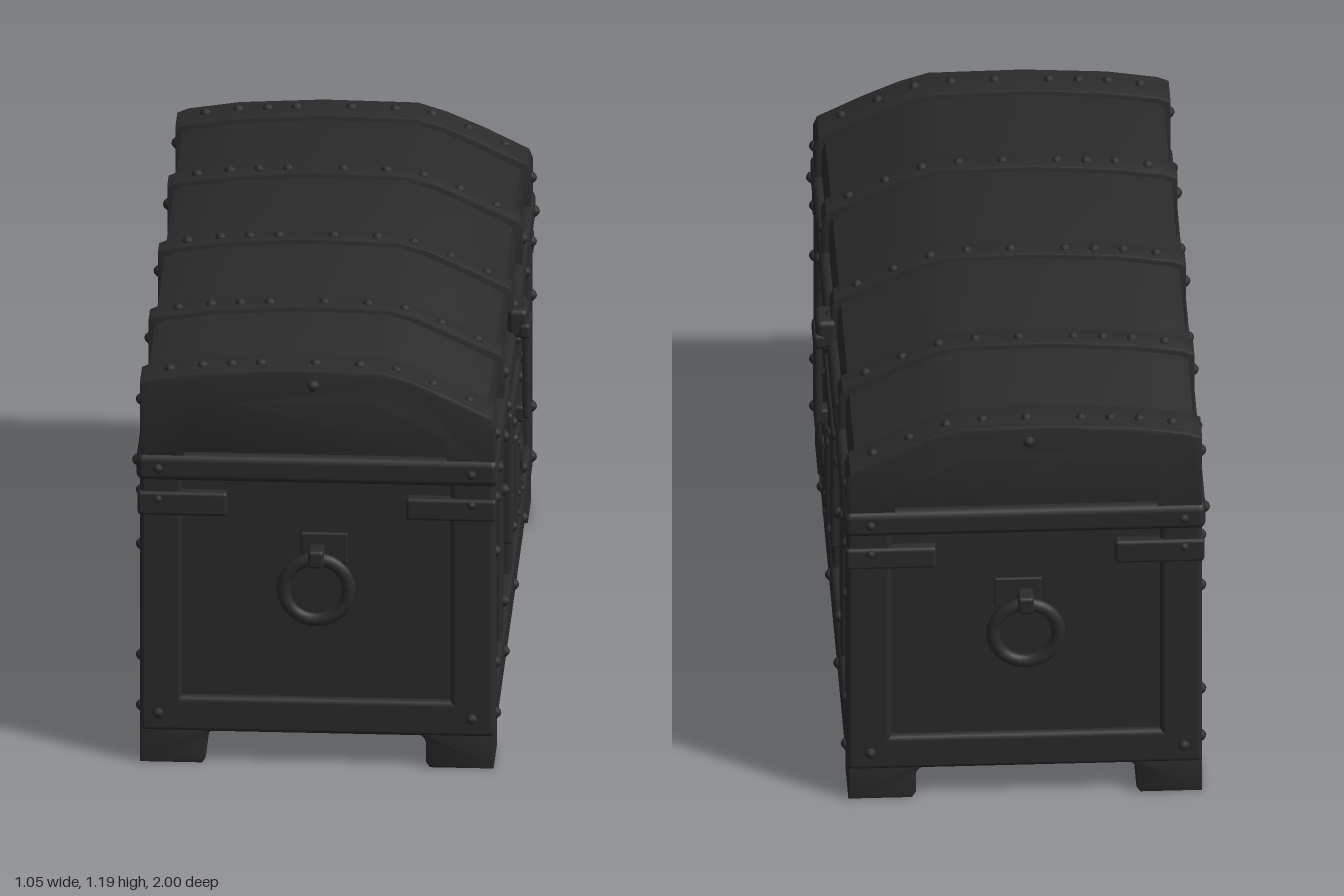
import * as THREE from 'three';
import { RoundedBoxGeometry } from 'three/addons/geometries/RoundedBoxGeometry.js';
import { toCreasedNormals } from 'three/addons/utils/BufferGeometryUtils.js';

const darkIron = new THREE.MeshStandardMaterial({ color: 0x2b2b2c });
darkIron.name = 'darkIron';

// Lopsided arch of the lid, from the low back edge over to the latch side
const ARCH = [[-0.5, 0.88], [-0.5, 1.13], [-0.47, 1.143], [-0.33, 1.165], [-0.1, 1.178],
  [0.16, 1.175], [0.24, 1.15], [0.34, 1.107], [0.465, 1.045], [0.475, 1.02], [0.475, 0.88]];
const PANEL = [[-0.385, 0.9], [-0.385, 1.07], [-0.15, 1.088], [0.15, 1.085], [0.35, 0.99], [0.35, 0.9]];
const BAND_Z = [-0.9, -0.47, 0, 0.47, 0.9];

const toPoints = (list) => list.map(([x, y]) => new THREE.Vector2(x, y));

export function createModel() {
  const model = new THREE.Group();
  model.name = 'chest';

  const add = (name, geometry, parent = model) => {
    const mesh = new THREE.Mesh(geometry, darkIron);
    mesh.name = name;
    parent.add(mesh);
    return mesh;
  };

  // Softened box given by its limits on each axis
  const box = (name, x0, x1, y0, y1, z0, z1, r = 0.01, parent = model) => {
    const mesh = add(name, new RoundedBoxGeometry(x1 - x0, y1 - y0, z1 - z0, 2, r), parent);
    mesh.position.set((x0 + x1) / 2, (y0 + y1) / 2, (z0 + z1) / 2);
    return mesh;
  };

  // Cross-section in x and y drawn out from z0 to z1 with a small bevel
  const slice = (name, shape, z0, z1, bevel = 0.008) => {
    const geometry = new THREE.ExtrudeGeometry(shape, {
      depth: z1 - z0 - 2 * bevel, bevelThickness: bevel, bevelSize: bevel,
      bevelOffset: -bevel, bevelSegments: 2, curveSegments: 6,
    });
    geometry.translate(0, 0, z0 + bevel);
    return add(name, toCreasedNormals(geometry, 0.6));
  };

  // Body core, rails, bands and corner posts
  box('bodyCore', -0.475, 0.45, 0.1, 0.87, -0.935, 0.935);
  box('bottomRail', -0.5, 0.475, 0.095, 0.2, -0.955, 0.955, 0.015);
  box('upperBodyRail', -0.497, 0.472, 0.74, 0.85, -0.93, 0.93);
  box('lidRail', -0.51, 0.483, 0.842, 0.92, -0.965, 0.965, 0.02);
  for (const z of BAND_Z.slice(1, 4)) box('bodyBand', -0.494, 0.469, 0.12, 0.8, z - 0.048, z + 0.048);
  for (const s of [-1, 1]) {
    const z0 = s > 0 ? 0.85 : -0.955;
    box('backPost', -0.5, -0.385, 0.12, 0.87, z0, z0 + 0.105, 0.015);
    box('frontPost', 0.352, 0.475, 0.12, 0.87, z0, z0 + 0.105, 0.015);
  }

  // Feet with a curved inner shoulder
  for (const s of [-1, 1]) {
    for (const [edge, inner, d] of [[-0.5, -0.32, 1], [0.47, 0.285, -1]]) {
      const foot = new THREE.Shape();
      foot.moveTo(edge, 0);
      foot.lineTo(inner - d * 0.01, 0);
      foot.lineTo(inner, 0.015);
      foot.lineTo(inner, 0.065);
      foot.quadraticCurveTo(inner, 0.095, inner + d * 0.03, 0.098);
      foot.lineTo(inner + d * 0.03, 0.12);
      foot.lineTo(edge, 0.12);
      foot.closePath();
      slice('foot', foot, s > 0 ? 0.775 : -0.95, s > 0 ? 0.95 : -0.775);
    }
  }

  // Lid skin, arched bands and the end frames around sunken panels
  const inset = ARCH.map(([x, y]) => [x < 0 ? x * 0.965 : x * 0.96, y > 0.9 ? y - 0.014 : y]);
  slice('lidCore', new THREE.Shape(toPoints(inset)), -0.935, 0.935);
  for (const z of BAND_Z) {
    const end = Math.abs(z) > 0.8;
    const half = end ? 0.05 : z === 0 ? 0.035 : 0.04;
    const mid = end ? Math.sign(z) * 0.885 : z;
    slice('lidBand', new THREE.Shape(toPoints(ARCH)), mid - half, mid + half, 0.006);
  }
  for (const s of [-1, 1]) {
    const frame = new THREE.Shape(toPoints(ARCH));
    frame.holes.push(new THREE.Path(toPoints(PANEL)));
    slice('lidEndFrame', frame, s > 0 ? 0.915 : -0.955, s > 0 ? 0.955 : -0.915);
  }

  // Ring handles and corner straps on both ends
  for (const s of [-1, 1]) {
    const handle = new THREE.Group();
    handle.name = 'ringHandle';
    const ring = add('ring', new THREE.TorusGeometry(0.09, 0.019, 10, 28), handle);
    ring.position.set(-0.015, 0.537, s * 0.977);
    ring.scale.z = 0.95;
    box('staple', -0.037, 0.007, 0.605, 0.657, Math.min(s * 0.92, s), Math.max(s * 0.92, s), 0.01, handle);
    box('staplePlate', -0.06, 0.07, 0.6, 0.69, s * 0.938 - 0.006, s * 0.938 + 0.006, 0.005, handle);
    model.add(handle);
    const zMid = s * 0.94;
    box('backStrap', -0.506, -0.26, 0.74, 0.81, zMid - 0.024, zMid + 0.024);
    box('frontStrap', 0.23, 0.478, 0.74, 0.805, zMid - 0.024, zMid + 0.024);
  }

  // Lock: outer plate, raised case, keyhole and hanging hasp
  box('lockPlate', 0.44, 0.482, 0.35, 0.74, -0.2, 0.2);
  box('lockCase', 0.46, 0.493, 0.37, 0.64, -0.11, 0.115, 0.012);
  const keyRing = add('keyholeRim', new THREE.TorusGeometry(0.025, 0.008, 8, 16));
  keyRing.position.set(0.493, 0.545, 0);
  keyRing.rotation.y = Math.PI / 2;
  keyRing.scale.y = 1.6;
  box('haspHinge', 0.46, 0.515, 0.9, 0.985, -0.05, 0.05, 0.015);
  box('hasp', 0.5, 0.52, 0.66, 0.945, -0.045, 0.045, 0.008);
  box('haspKnuckle', 0.488, 0.523, 0.9, 0.945, -0.053, 0.053, 0.012);
  box('haspStaple', 0.47, 0.505, 0.64, 0.69, -0.025, 0.025);

  // Rivets: low domes along every band, rail and plate
  const dome = new THREE.SphereGeometry(0.02, 8, 6);
  const rivet = (x, y, z, size = 1) => {
    const mesh = add('rivet', dome);
    mesh.position.set(x, y, z);
    mesh.scale.setScalar(size);
  };
  const archRivets = [[-0.42, 1.15], [-0.33, 1.163], [-0.25, 1.168], [-0.17, 1.172], [-0.02, 1.175],
    [0.1, 1.173], [0.2, 1.16], [0.3, 1.12], [0.4, 1.074]];
  for (const z of BAND_Z) {
    for (const [x, y] of archRivets) rivet(x, y, z, 0.75);
    for (const y of [0.15, 0.3, 0.63, 0.79]) {
      rivet(-0.497, y, z, 0.85);
      if (z !== 0 || y < 0.2) rivet(0.472, y, z, 0.85);
    }
    for (const y of [0.88, 1.06]) rivet(y < 1 ? -0.507 : -0.497, y, z, 0.85);
    for (const y of [0.88, 0.98]) rivet(y < 0.9 ? 0.48 : 0.472, y, z, 0.85);
  }
  for (const y of [0.39, 0.7]) for (const z of [-0.16, 0.16]) rivet(0.48, y, z, 0.75);
  for (const y of [0.4, 0.46, 0.61]) for (const z of [-0.085, 0.09]) rivet(0.49, y, z, 0.5);
  for (const s of [-1, 1]) {
    rivet(-0.025, 1.132, s * 0.953, 0.85);
    for (const x of [-0.45, 0.41]) {
      rivet(x, 0.79, s * 0.963, 0.6);
      rivet(x, 0.15, s * 0.953, 0.8);
      rivet(x, 0.88, s * 0.963, 0.7);
    }
  }

  return model;
}
